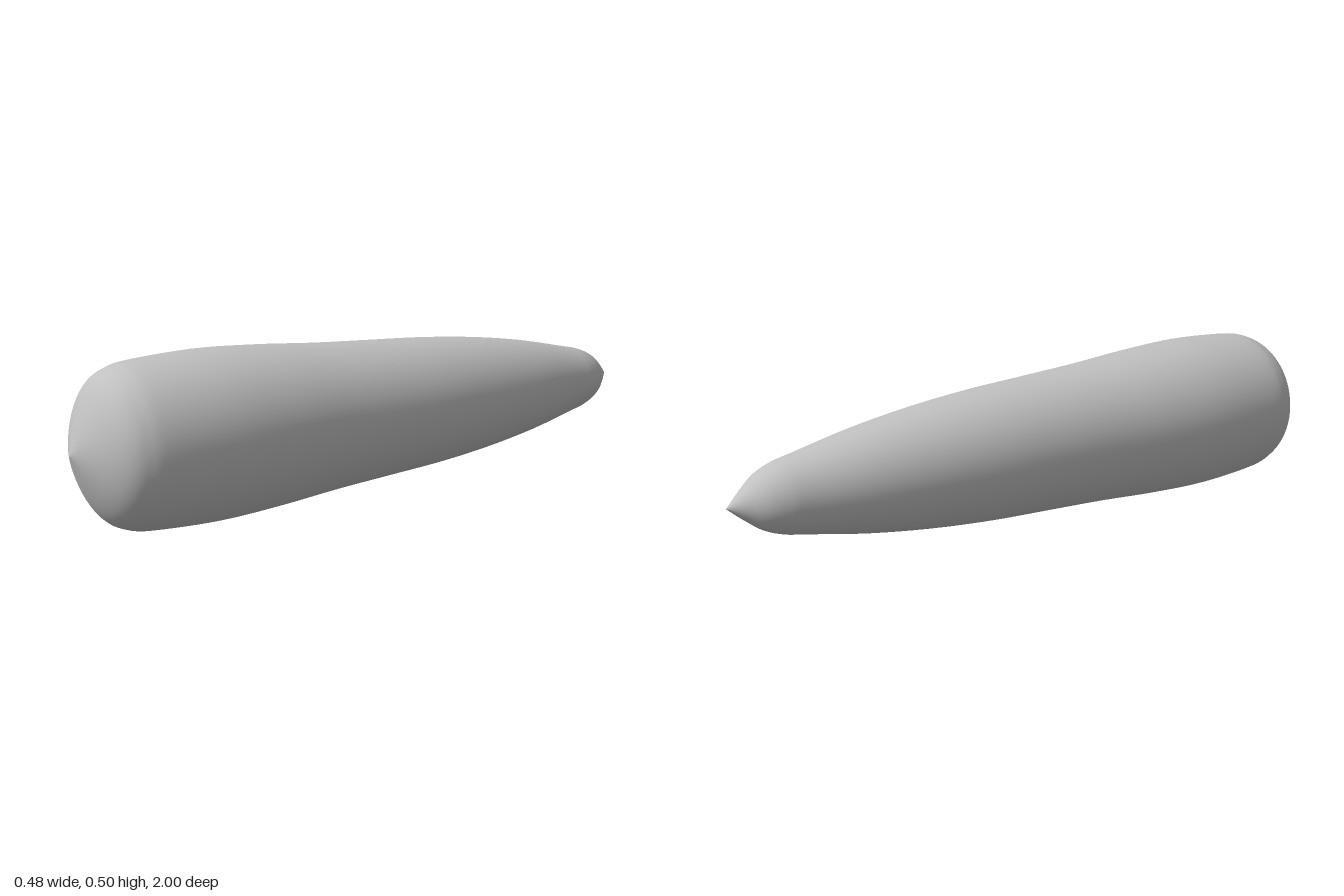
import * as THREE from 'three';

export function createModel() {
  const group = new THREE.Group();
  const grey = new THREE.MeshStandardMaterial({ color: 0xc0c0c0 });
  grey.name = 'light grey';

  // Profile as [radius, z], from the narrow back tip to the blunt front tip
  const profile = [
    [0, -1], [0.045, -0.95], [0.08, -0.905], [0.103, -0.85], [0.118, -0.78],
    [0.155, -0.6], [0.184, -0.4], [0.203, -0.2], [0.214, 0], [0.225, 0.2],
    [0.24, 0.4], [0.248, 0.6], [0.238, 0.8], [0.224, 0.865], [0.2, 0.905],
    [0.155, 0.938], [0.085, 0.97], [0, 1],
  ].map(([r, z]) => new THREE.Vector2(r, z));
  const points = new THREE.SplineCurve(profile).getPoints(85);
  points.forEach((p) => { p.x = Math.max(p.x, 0); });

  // Turned body laid along z, slightly narrower than tall
  const geometry = new THREE.LatheGeometry(points, 64);
  geometry.rotateX(Math.PI / 2);
  geometry.scale(0.972, 1, 1);
  geometry.translate(0, 0.248, 0);

  const body = new THREE.Mesh(geometry, grey);
  body.name = 'taperedBody';
  group.add(body);
  return group;
}
